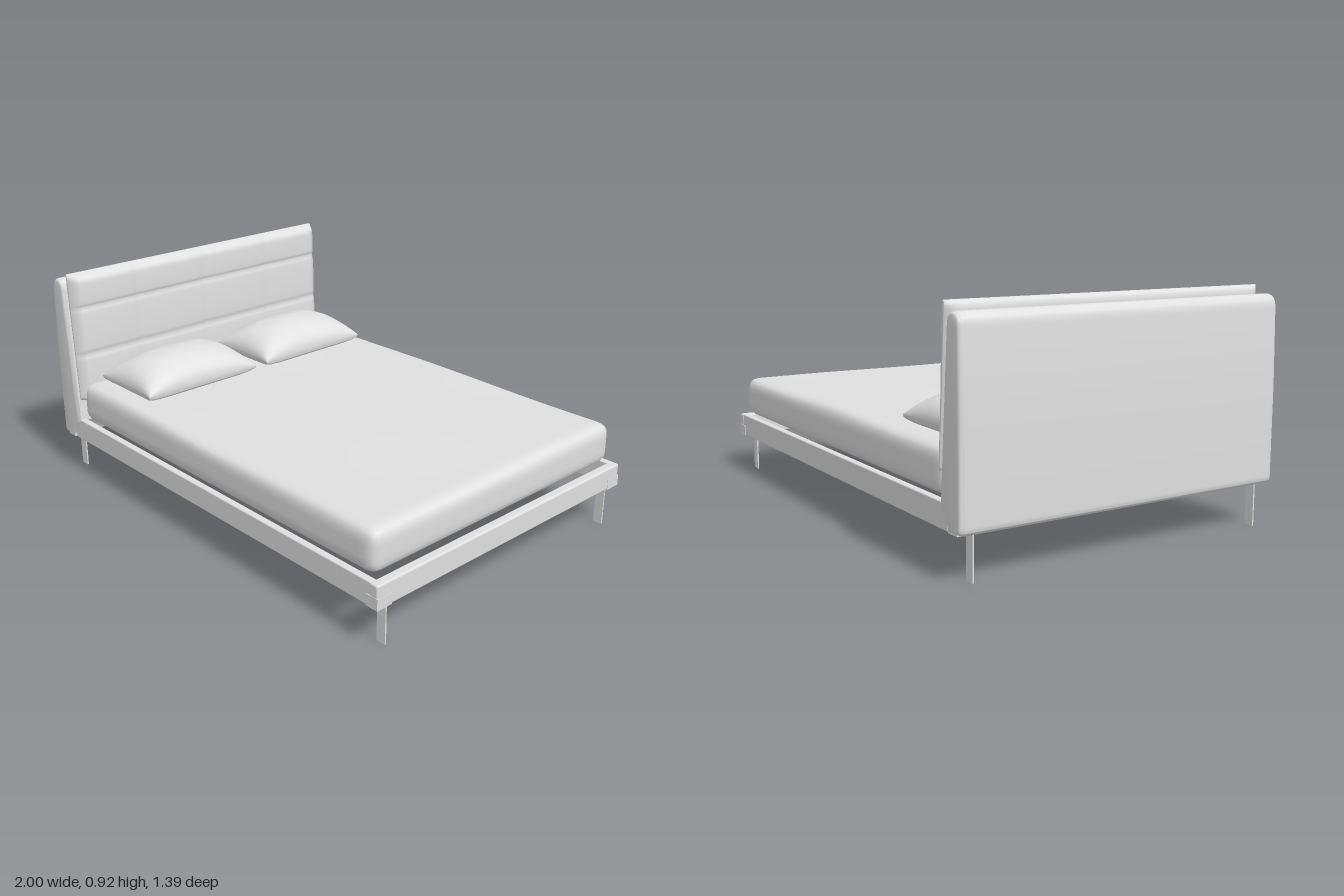
import * as THREE from 'three';
import { RoundedBoxGeometry } from 'three/addons/geometries/RoundedBoxGeometry.js';
import { mergeVertices, toCreasedNormals } from 'three/addons/utils/BufferGeometryUtils.js';

// Weld a box grid, move every vertex by a rule and smooth its normals
function reshapedBox(size, segments, rule) {
  const box = new THREE.BoxGeometry(...size, ...segments);
  box.deleteAttribute('uv');
  box.deleteAttribute('normal');
  const g = mergeVertices(box);
  const pos = g.attributes.position;
  const v = new THREE.Vector3();
  for (let i = 0; i < pos.count; i++) {
    v.fromBufferAttribute(pos, i);
    rule(v);
    pos.setXYZ(i, v.x, v.y, v.z);
  }
  g.computeVertexNormals();
  return g;
}

// Side profile of the headboard, extruded across the bed with soft edges
function headboardGeometry() {
  const s = new THREE.Shape();
  s.moveTo(-0.985, 0.168);
  s.lineTo(-0.92, 0.168);
  s.quadraticCurveTo(-0.905, 0.2, -0.867, 0.25);
  s.lineTo(-0.91, 0.84);
  s.quadraticCurveTo(-0.913, 0.89, -0.95, 0.89);
  s.quadraticCurveTo(-0.99, 0.89, -0.993, 0.84);
  s.lineTo(-1, 0.55);
  s.lineTo(-1, 0.2);
  s.quadraticCurveTo(-1, 0.17, -0.985, 0.168);
  const g = new THREE.ExtrudeGeometry(s, {
    depth: 1.35, curveSegments: 8, bevelEnabled: true,
    bevelThickness: 0.02, bevelSize: 0.014, bevelOffset: -0.014, bevelSegments: 4,
  });
  g.translate(0, 0, -0.675);
  return toCreasedNormals(g, 0.7);
}

// Tufted pad: three rows by four columns of softly puffed cells
function tuftedGeometry() {
  const rows = [0.36, 0.565, 0.775, 0.92];
  const cols = [-0.685, -0.365, 0, 0.365, 0.685];
  const place = (bounds, t) => {
    const i = Math.min(Math.floor(t + 1e-6), bounds.length - 2);
    const f = Math.min(Math.max(t - i, 0), 1);
    return [THREE.MathUtils.lerp(bounds[i], bounds[i + 1], f), 4 * f * (1 - f)];
  };
  return reshapedBox([1, 3, 4], [2, 48, 72], (v) => {
    const [y, py] = place(rows, v.y + 1.5);
    const [z, pz] = place(cols, v.z + 2);
    const rim = Math.min((0.92 - y) / 0.04, (0.685 - Math.abs(z)) / 0.03, 1);
    const round = Math.sqrt(Math.max(0, rim * (2 - rim)));
    const puff = Math.pow(py, 0.25) * 0.009 + Math.pow(pz, 0.2) * 0.006;
    const back = THREE.MathUtils.mapLinear(y, 0.36, 0.92, -0.876, -0.91);
    const face = THREE.MathUtils.mapLinear(y, 0.36, 0.92, -0.832, -0.852) + puff;
    const mid = back + 0.025;
    const reach = v.x > 0 ? face - mid : v.x < 0 ? back - mid : 0;
    v.set(mid + reach * (0.15 + 0.85 * round), y, z);
  });
}

// Mattress with rounded edges, a lightly rumpled cover and a recessed underside
function mattressGeometry() {
  const half = new THREE.Vector3(0.909, 0.086, 0.672);
  const r = 0.045;
  const core = half.clone().subScalar(r);
  const low = core.clone().negate();
  const inner = new THREE.Vector3();
  return reshapedBox(half.clone().multiplyScalar(2).toArray(), [76, 8, 56], (v) => {
    const recessed = v.y < -0.08 && Math.abs(v.x) < 0.75 && Math.abs(v.z) < 0.53;
    const top = v.y > 0.08;
    inner.copy(v).clamp(low, core);
    v.sub(inner).setLength(r).add(inner);
    if (recessed) v.y = 0.07;
    if (top) v.y += 0.003 * Math.sin(5 * v.x + 2 * v.z) * Math.cos(4 * v.z - v.x);
  });
}

// Pillow with pinched corners, domed above and flatter below
function pillowGeometry() {
  return reshapedBox([2, 2, 2], [28, 2, 32], (v) => {
    const u = Math.sin((v.x * Math.PI) / 2);
    const w = Math.sin((v.z * Math.PI) / 2);
    const fill = Math.sqrt(Math.max(0, (1 - u * u) * (1 - Math.abs(w) ** 2.7)));
    const wrinkle = 0.002 * Math.sin(9 * u + 5 * w) * Math.sin(11 * w) * fill;
    const y = v.y > 0 ? 0.003 + 0.112 * fill + wrinkle
      : v.y < 0 ? -0.003 - 0.042 * Math.sqrt(fill) : 0;
    v.set(u * 0.18 * (1 - 0.06 * (1 - w * w)), y, w * 0.283 * (1 - 0.04 * (1 - u * u)));
  });
}

export function createModel() {
  const bed = new THREE.Group();
  bed.name = 'bed';
  const grey = new THREE.MeshStandardMaterial({ color: 0xe0e0e0 });
  grey.name = 'light grey';

  const add = (name, geometry, x = 0, y = 0, z = 0) => {
    const mesh = new THREE.Mesh(geometry, grey);
    mesh.name = name;
    mesh.position.set(x, y, z);
    bed.add(mesh);
  };

  // Headboard and its padded front
  add('headboard', headboardGeometry());
  add('tuftedPad', tuftedGeometry());

  // Open frame: two side rails and a foot rail
  const sideRail = new RoundedBoxGeometry(1.89, 0.095, 0.03, 2, 0.005);
  for (const side of [-1, 1]) add('sideRail', sideRail, 0.035, 0.2125, side * 0.673);
  add('footRail', new RoundedBoxGeometry(0.04, 0.095, 1.38, 3, 0.008), 0.978, 0.2125, 0);

  // Mattress resting on the rails
  add('mattress', mattressGeometry(), 0.05, 0.347, 0);

  // Pillows
  const pillow = pillowGeometry();
  for (const z of [-0.31, 0.318]) add('pillow', pillow, -0.612, 0.47, z);

  // Flat plate legs with a corner block at each
  const plate = new THREE.BoxGeometry(0.04, 0.21, 0.006);
  const block = new THREE.BoxGeometry(0.055, 0.046, 0.071);
  for (const side of [-1, 1]) {
    for (const [legX, blockX] of [[-0.954, -0.945], [0.963, 0.972]]) {
      add('leg', plate, legX, 0.105, side * 0.631);
      add('cornerBlock', block, blockX, 0.188, side * 0.6555);
    }
  }
  return bed;
}
